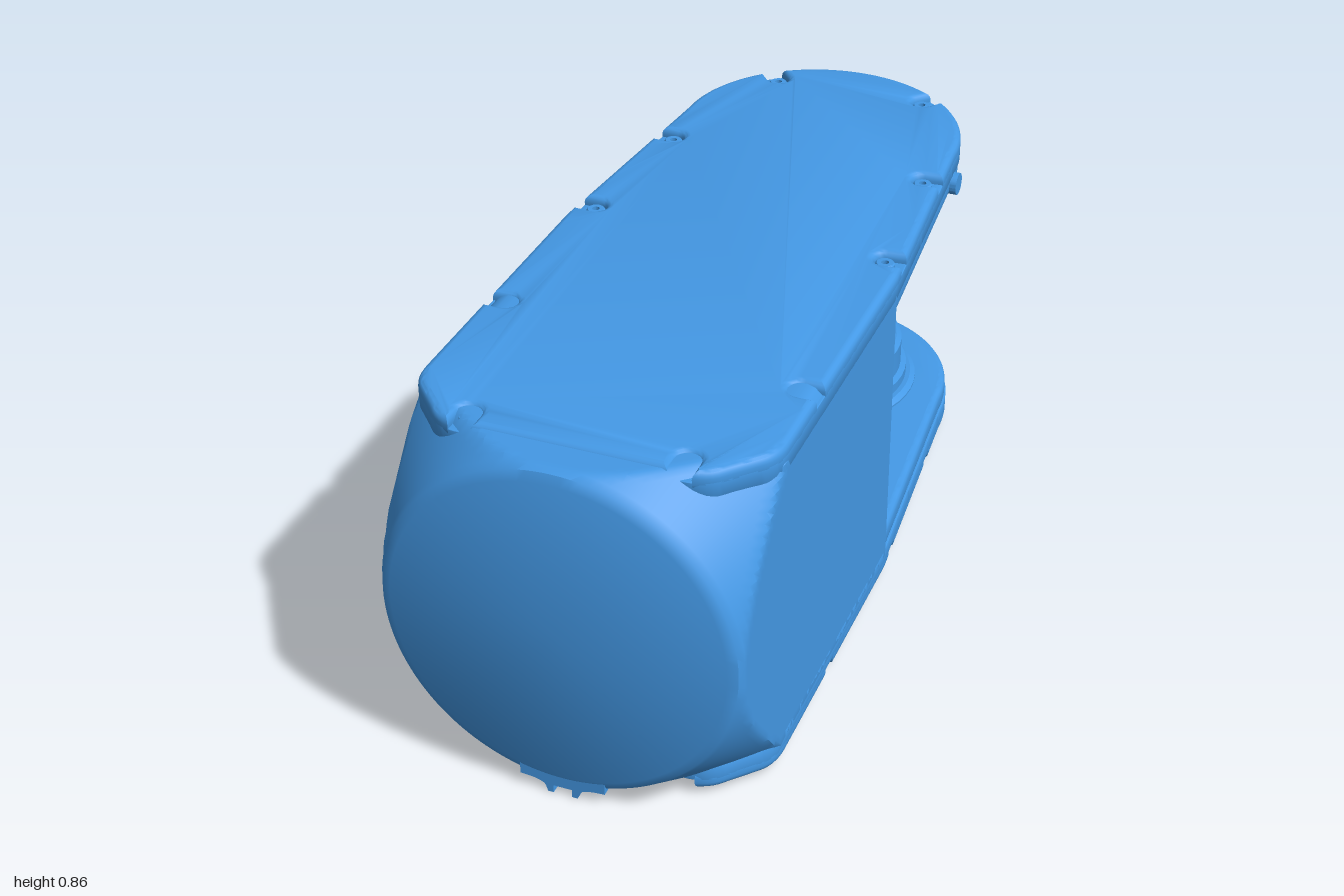
import * as THREE from 'three';
import { toCreasedNormals } from 'three/addons/utils/BufferGeometryUtils.js';

const blue = new THREE.MeshStandardMaterial({ color: 0x4499e6 });
const MID = 0.4375; // height of the central axis

function add(parent, name, geometry, x = 0, y = 0, z = 0) {
  const mesh = new THREE.Mesh(toCreasedNormals(geometry, 0.6), blue);
  mesh.name = name;
  mesh.position.set(x, y, z);
  parent.add(mesh);
  return mesh;
}

// Plan outline of the arms: chamfered front, tapered sides, round rear (shape y = -z)
function planOutline(inset = 0) {
  const w = 0.412 - inset, r = 0.357 - inset, f = -0.9 + inset;
  const s = new THREE.Shape();
  s.moveTo(0, f);
  s.lineTo(0.25, f);
  s.quadraticCurveTo(0.3, f, 0.33, f + 0.04);
  s.lineTo(0.385 - inset, f + 0.1);
  s.quadraticCurveTo(w, f + 0.13, w, f + 0.18);
  s.lineTo(w, 0);
  s.lineTo(r, 0.645);
  s.absellipse(0, 0.645, r, 0.355 - inset, 0, Math.PI, false);
  s.lineTo(-w, 0);
  s.lineTo(-w, f + 0.18);
  s.quadraticCurveTo(-w, f + 0.13, -0.385 + inset, f + 0.1);
  s.lineTo(-0.33, f + 0.04);
  s.quadraticCurveTo(-0.3, f, -0.25, f);
  s.lineTo(0, f);
  return s.getSpacedPoints(360).slice(0, -1);
}

// Horizontal slab from y0 to y1 with rounded edges
function slab(points, y0, y1, bevel) {
  const g = new THREE.ExtrudeGeometry(new THREE.Shape(points), {
    depth: y1 - y0 - 2 * bevel, bevelEnabled: bevel > 0, bevelThickness: bevel,
    bevelSize: bevel, bevelOffset: -bevel, bevelSegments: 4,
  });
  return g.rotateX(-Math.PI / 2).translate(0, y0 + bevel, 0);
}

// Cut U-shaped screw pockets into the outline; also return the screw centres
function notch(points, targets) {
  const n = points.length, r = 0.026, centres = [], arcs = new Map(), removed = new Set();
  for (const [x, z] of targets) {
    const target = new THREE.Vector2(x, -z);
    let k = 0;
    points.forEach((p, i) => { if (p.distanceTo(target) < points[k].distanceTo(target)) k = i; });
    const p = points[k];
    const t = points[(k + 1) % n].clone().sub(points[(k + n - 1) % n]).normalize();
    const out = new THREE.Vector2(t.y, -t.x);
    const at = (along, depth) => p.clone().addScaledVector(t, along).addScaledVector(out, -depth);
    const arc = [at(-r, 0)];
    for (let i = 0; i <= 10; i++) {
      const a = Math.PI * i / 10;
      arc.push(at(-r * Math.cos(a), 0.045 + r * Math.sin(a)));
    }
    arc.push(at(r, 0));
    arcs.set(k, arc);
    centres.push(at(0, 0.045));
    points.forEach((q, i) => { if (q.distanceTo(p) < r + 0.004) removed.add(i); });
  }
  const outline = points.flatMap((p, i) => arcs.get(i) || (removed.has(i) ? [] : [p]));
  return { outline, centres };
}

// One arm, drawn as the top one: inner deck, cover and pocketed skin with screws
function arm(name) {
  const g = new THREE.Group();
  g.name = name;
  const y = -MID;
  add(g, 'armDeck', slab(planOutline(0.004), 0.74 + y, 0.8 + y, 0.018));
  add(g, 'cover', slab(planOutline(), 0.789 + y, 0.829 + y, 0.002));
  const screws = [[-0.24, -0.93], [0.24, -0.93], [-0.4, -0.48], [0.4, -0.48], [-0.41, -0.065],
    [0.41, -0.065], [-0.41, 0.42], [0.41, 0.52], [-0.25, 0.9], [0.25, 0.9]];
  const { outline, centres } = notch(planOutline(), screws);
  // skin starts lower than its visible edge so only the upper rounding shows
  add(g, 'coverSkin', slab(outline, 0.806 + y, 0.855 + y, 0.018));
  const head = new THREE.LatheGeometry([[0.009, 0], [0.009, 0.012], [0.02, 0.012], [0.023, 0.008], [0.023, -0.01]]
    .reverse().map(([a, b]) => new THREE.Vector2(a, b)), 16);
  for (const c of centres) add(g, 'coverScrew', head, c.x, 0.83 + y, -c.y);
  g.position.y = MID;
  return g;
}

// Body: rounded rectangle trimmed by a cone so it runs into a round front
function bodyGeometry() {
  const w = 0.412, h = 0.41, r = 0.04;
  const s = new THREE.Shape();
  s.moveTo(w, -h + r);
  s.lineTo(w, h - r);
  s.absarc(w - r, h - r, r, 0, Math.PI / 2);
  s.absarc(-w + r, h - r, r, Math.PI / 2, Math.PI);
  s.absarc(-w + r, -h + r, r, Math.PI, Math.PI * 1.5);
  s.absarc(w - r, -h + r, r, Math.PI * 1.5, Math.PI * 2);
  const ring = s.getSpacedPoints(160).slice(0, -1), n = ring.length;
  const sections = [[0, 0], [0, 9]];
  for (let i = 0; i <= 24; i++) {
    const z = 0.6 + 0.39 * i / 24;
    sections.push([z, 0.405 + 0.62 * (0.99 - z)]);
  }
  sections.push([1, 0.383], [1, 0]);
  const pos = [], index = [];
  sections.forEach(([z, R], k) => {
    ring.forEach((p, i) => {
      const f = Math.min(1, R / p.length());
      pos.push(p.x * f, p.y * f, z);
      if (k === sections.length - 1) return;
      const a = k * n + i, b = k * n + (i + 1) % n;
      index.push(a, b, b + n, a, b + n, a + n);
    });
  });
  const g = new THREE.BufferGeometry();
  g.setAttribute('position', new THREE.Float32BufferAttribute(pos, 3));
  g.setIndex(index);
  return g;
}

const lathe = (pts) => new THREE.LatheGeometry(pts.map(([x, y]) => new THREE.Vector2(x, y)), 48);

export function createModel() {
  const model = new THREE.Group();
  model.name = 'clampHead';
  add(model, 'body', bodyGeometry(), 0, MID, 0);

  // Upper and lower arms
  model.add(arm('upperArm'));
  const lower = arm('lowerArm');
  lower.rotation.z = Math.PI;
  model.add(lower);

  // Bulged wall between the arms
  const wall = new THREE.Shape();
  wall.moveTo(-0.405, -0.05);
  wall.lineTo(0.405, -0.05);
  wall.lineTo(0.405, 0.005);
  wall.quadraticCurveTo(0.2, 0.14, 0, 0.14);
  wall.quadraticCurveTo(-0.2, 0.14, -0.405, 0.005);
  add(model, 'throatWall', slab(wall.getPoints(20), 0.12, 0.76, 0));

  // Block hanging from the upper arm against the wall
  const block = new THREE.Shape();
  block.moveTo(-0.17, 0);
  block.lineTo(0.17, 0);
  block.lineTo(0.17, 0.18);
  block.quadraticCurveTo(0.17, 0.22, 0.13, 0.22);
  block.lineTo(-0.13, 0.22);
  block.quadraticCurveTo(-0.17, 0.22, -0.17, 0.18);
  add(model, 'throatBlock', slab(block.getPoints(8), 0.39, 0.77, 0.018));

  // Stepped round mount on the lower arm
  add(model, 'lowerMount', lathe([[0.275, 0.12], [0.275, 0.14], [0.262, 0.15], [0.25, 0.15], [0.25, 0.175],
    [0.235, 0.18], [0.235, 0.25], [0.222, 0.262], [0.2, 0.262], [0.2, 0.27], [0.21, 0.275],
    [0.21, 0.32], [0.202, 0.328], [0, 0.328]]), 0, 0, -0.635);

  // Recessed ring under the upper arm
  add(model, 'upperRing', lathe([[0, 0.725], [0.25, 0.725], [0.255, 0.705], [0.277, 0.705], [0.28, 0.71],
    [0.28, 0.73], [0.287, 0.735], [0.287, 0.745]]), 0, 0, -0.635);

  // Locating tab below the round front
  const tab = new THREE.Shape();
  tab.moveTo(-0.1, 0.06);
  tab.lineTo(-0.1, 0.032);
  tab.quadraticCurveTo(-0.045, 0.03, -0.04, 0.015);
  tab.lineTo(-0.035, 0);
  tab.lineTo(-0.022, 0);
  tab.lineTo(-0.022, 0.02);
  tab.lineTo(0.022, 0.02);
  tab.lineTo(0.022, 0);
  tab.lineTo(0.035, 0);
  tab.lineTo(0.04, 0.015);
  tab.quadraticCurveTo(0.045, 0.03, 0.1, 0.032);
  tab.lineTo(0.1, 0.06);
  add(model, 'frontTab', new THREE.ExtrudeGeometry(tab, { depth: 0.075, bevelEnabled: false }), 0, 0, 0.922);

  // Service panel, its screws and two ports on the right side
  const peg = (r, len) => new THREE.CylinderGeometry(r, r, len, 20).rotateZ(Math.PI / 2);
  add(model, 'servicePanel', new THREE.BoxGeometry(0.01, 0.33, 0.33), -0.411, 0.445, 0.59);
  for (const y of [0.32, 0.57]) {
    for (const z of [0.46, 0.72]) add(model, 'panelScrew', peg(0.021, 0.02), -0.409, y, z);
  }
  for (const z of [0.62, 0.7]) {
    add(model, 'portCollar', peg(0.029, 0.03), -0.41, 0.118, z);
    add(model, 'portPlug', peg(0.018, 0.03), -0.412, 0.118, z);
  }

  // Side button on the upper arm and small studs at the foot of the wall
  add(model, 'sideButton', peg(0.028, 0.05), 0.347, 0.765, -0.64);
  for (const x of [-0.36, 0.36]) {
    add(model, 'footStud', new THREE.CylinderGeometry(0.016, 0.016, 0.02, 16), x, 0.14, -0.06);
  }
  return model;
}
